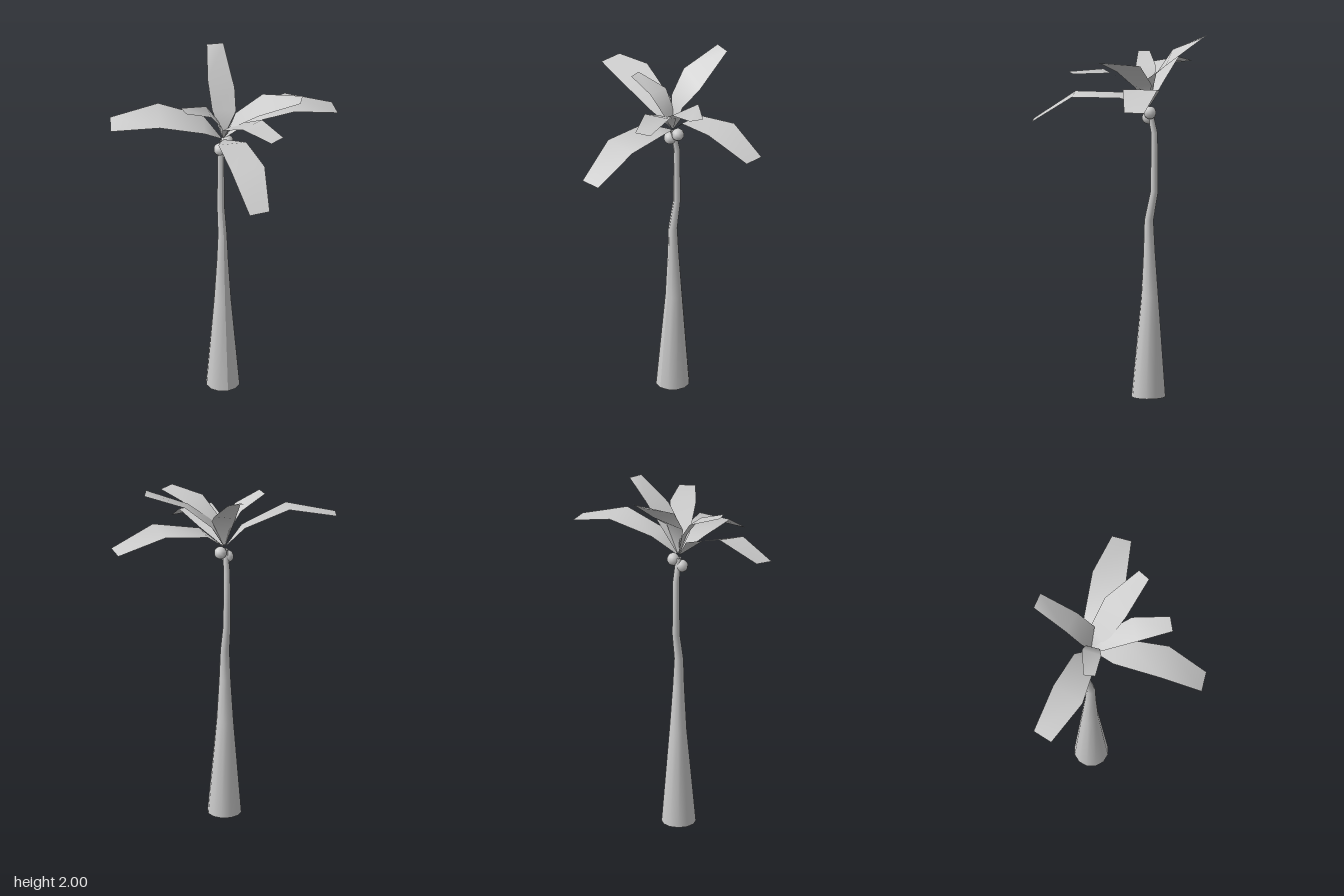
import * as THREE from 'three';

const material = new THREE.MeshStandardMaterial({ color: 0xcccccc, side: THREE.DoubleSide });

// Trunk stations: [y, x, z, radius]
const trunkRings = [
  [0, -0.01, -0.153, 0.093],
  [0.55, -0.01, -0.16, 0.047],
  [0.8, -0.011, -0.157, 0.032],
  [0.97, -0.012, -0.155, 0.025],
  [1.13, -0.012, -0.185, 0.021],
  [1.45, -0.012, -0.185, 0.018],
  [1.58, -0.012, -0.158, 0.015],
];

// Open tube bent through the stations
function trunkGeometry(sides = 12) {
  const rows = trunkRings.length - 1;
  const geo = new THREE.CylinderGeometry(1, 1, rows, sides, rows, true);
  const p = geo.attributes.position;
  for (let i = 0; i < p.count; i++) {
    const [y, x, z, r] = trunkRings[Math.round(p.getY(i) + rows / 2)];
    p.setXYZ(i, x + p.getX(i) * r, y, z + p.getZ(i) * r);
  }
  geo.computeVertexNormals();
  return geo;
}

// Each frond: its two edges at the inner, middle and tip stations
const fronds = {
  frontFrond: [
    [[-0.08, 1.66, -0.01], [0.075, 1.655, 0]],
    [[-0.09, 1.66, 0.255], [0.1, 1.655, 0.255]],
    [[-0.055, 1.51, 0.48], [0.06, 1.51, 0.475]],
  ],
  backFrond: [
    [[0.065, 1.76, -0.155], [-0.06, 1.77, -0.19]],
    [[0.09, 1.84, -0.26], [-0.057, 1.905, -0.28]],
    [[0.09, 2.0, -0.467], [0.0, 2.0, -0.48]],
  ],
  rightFrond: [
    [[-0.1, 1.72, -0.225], [-0.13, 1.685, -0.1]],
    [[-0.34, 1.815, -0.277], [-0.385, 1.775, -0.1]],
    [[-0.6, 1.75, -0.317], [-0.63, 1.73, -0.21]],
  ],
  smallRightFrond: [
    [[-0.03, 1.7, -0.18], [-0.03, 1.7, -0.1]],
    [[-0.095, 1.805, -0.183], [-0.1, 1.805, -0.072]],
    [[-0.255, 1.86, -0.13], [-0.245, 1.86, -0.067]],
  ],
  leftFrond: [
    [[0.115, 1.705, -0.1], [0.115, 1.705, -0.23]],
    [[0.37, 1.755, -0.06], [0.37, 1.755, -0.25]],
    [[0.627, 1.67, -0.1], [0.627, 1.67, -0.21]],
  ],
  frontLeftFrond: [
    [[0.0, 1.7, -0.08], [0.07, 1.73, -0.18]],
    [[0.145, 1.81, 0.0], [0.21, 1.855, -0.135]],
    [[0.36, 1.895, 0.072], [0.395, 1.895, 0.005]],
  ],
  smallFrontFrond: [
    [[-0.035, 1.7, -0.08], [0.05, 1.7, -0.12]],
    [[0.025, 1.805, 0.09], [0.155, 1.805, 0.03]],
    [[0.135, 1.805, 0.267], [0.215, 1.805, 0.23]],
  ],
};

// Smooth strip from a narrow root out to the tip
function frondGeometry(stations) {
  const crown = new THREE.Vector3(-0.01, 1.59, -0.155);
  const root = stations[0].map(e => crown.clone().lerp(new THREE.Vector3(...e), 0.1).toArray());
  const points = [root, ...stations].flat(2);
  const index = [];
  for (let i = 0; i < stations.length; i++) {
    const a = i * 2;
    index.push(a, a + 2, a + 1, a + 1, a + 2, a + 3);
  }
  const geo = new THREE.BufferGeometry();
  geo.setAttribute('position', new THREE.Float32BufferAttribute(points, 3));
  geo.setIndex(index);
  geo.computeVertexNormals();
  return geo;
}

export function createModel() {
  const tree = new THREE.Group();
  tree.name = 'palmTree';
  const add = (name, geo) => {
    const mesh = new THREE.Mesh(geo, material);
    mesh.name = name;
    tree.add(mesh);
    return mesh;
  };

  add('trunk', trunkGeometry());
  for (const [name, stations] of Object.entries(fronds)) add(name, frondGeometry(stations));

  // Coconuts under the crown
  const nuts = [[-0.028, 1.532, -0.15], [0.018, 1.567, -0.165]];
  nuts.forEach((pos, i) => {
    add('coconut' + (i + 1), new THREE.SphereGeometry(0.035, 10, 7)).position.set(...pos);
  });
  return tree;
}
